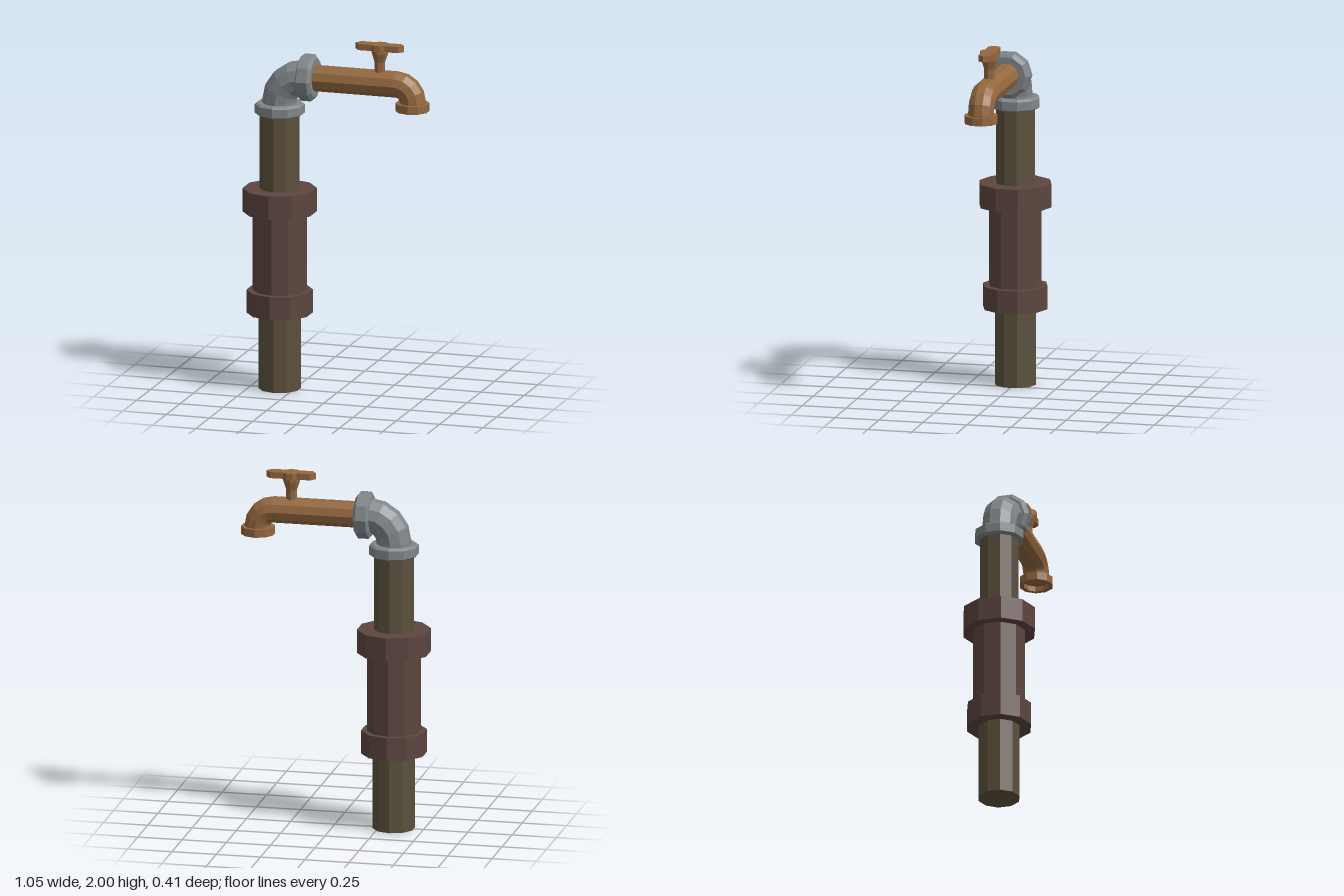
import * as THREE from 'three';

const SIDES = 10;
const PIPE_X = -0.333; // axis of the upright pipe
const ARM_Y = 1.778; // axis of the horizontal arm

const paint = (color) => new THREE.MeshStandardMaterial({ color, flatShading: true });

export function createModel() {
  const group = new THREE.Group();
  const olive = paint(0x5b503d);
  const rust = paint(0x5c453f);
  const steel = paint(0x80868a);
  const brass = paint(0x94683f);

  function add(name, geometry, material) {
    const flat = geometry.index ? geometry.toNonIndexed() : geometry;
    flat.computeVertexNormals();
    const mesh = new THREE.Mesh(flat, material);
    mesh.name = name;
    group.add(mesh);
    return mesh;
  }

  // Turned part from [radius, height] pairs, listed bottom to top
  const turned = (profile, sides = SIDES) =>
    new THREE.LatheGeometry(profile.map(([r, y]) => new THREE.Vector2(r, y)), sides);

  const solid = (r, y0, y1) => turned([[0, y0], [r, y0], [r, y1], [0, y1]]);

  // Nut with bevelled rims
  const nut = (r, rim, y0, y1, bevel0, bevel1) =>
    turned([[0, y0], [rim, y0], [r, y0 + bevel0], [r, y1 - bevel1], [rim, y1], [0, y1]]);

  // Upright pipe sections and collars
  const uprights = [
    ['lowerPipe', 0.117, 0, 0.5, olive],
    ['lowerCollar', 0.183, 0.43, 0.56, rust],
    ['sleeve', 0.149, 0.5, 1.07, rust],
    ['upperCollar', 0.205, 1.005, 1.137, rust],
    ['upperPipe', 0.11, 1.07, 1.58, olive],
  ];
  for (const [name, r, y0, y1, material] of uprights) {
    add(name, solid(r, y0, y1), material).position.x = PIPE_X;
  }

  // Elbow nuts, one upright and one on its side
  add('elbowBaseNut', nut(0.138, 0.125, 1.558, 1.625, 0.008, 0.01), steel).position.x = PIPE_X;
  const sideNut = add('elbowSideNut', nut(0.131, 0.11, -0.21, -0.125, 0.01, 0.015), steel);
  sideNut.rotation.z = -Math.PI / 2;
  sideNut.position.y = ARM_Y;

  // Pipe swept through rings [x, y, heading] in the xy plane
  function sweep(rings, r) {
    const positions = [];
    const index = [];
    rings.forEach(([x, y, heading], i) => {
      for (let j = 0; j < SIDES; j++) {
        const a = (j / SIDES) * Math.PI * 2;
        const out = r * Math.sin(a);
        positions.push(x - Math.sin(heading) * out, y + Math.cos(heading) * out, r * Math.cos(a));
        if (i === rings.length - 1) continue;
        const k = (j + 1) % SIDES;
        const p = i * SIDES;
        const q = p + SIDES;
        index.push(p + j, q + j, p + k, q + j, q + k, p + k);
      }
    });
    const geometry = new THREE.BufferGeometry();
    geometry.setAttribute('position', new THREE.Float32BufferAttribute(positions, 3));
    geometry.setIndex(index);
    return geometry;
  }

  // Clockwise quarter bend around (cx, cy)
  function bend(cx, cy, radius, from, steps) {
    return Array.from({ length: steps + 1 }, (_, i) => {
      const t = from - (i / steps) * (Math.PI / 2);
      return [cx + radius * Math.cos(t), cy + radius * Math.sin(t), t - Math.PI / 2];
    });
  }

  const elbow = bend(PIPE_X + 0.14, ARM_Y - 0.14, 0.14, Math.PI, 4);
  add('elbow', sweep([[PIPE_X, 1.6, Math.PI / 2], ...elbow], 0.097), steel);

  const spout = bend(0.345, ARM_Y - 0.09, 0.09, Math.PI / 2, 4);
  add('spout', sweep([[-0.16, ARM_Y, 0], ...spout, [0.435, 1.67, -Math.PI / 2]], 0.073), brass);

  // Spout mouth with a recessed opening
  add('spoutMouth', turned([
    [0, 1.665], [0.07, 1.665], [0.07, 1.635], [0.094, 1.635], [0.094, 1.68], [0, 1.68],
  ]), brass).position.x = 0.434;

  // Valve stem flaring up to the handle
  add('valveStem', turned([
    [0, 1.82], [0.031, 1.82], [0.031, 1.9], [0.048, 1.95], [0.048, 1.967], [0, 1.967],
  ], 8), brass).position.x = 0.245;

  // Handle: flat bar with pointed ends and a wider hub
  const half = [[-0.14, 0], [-0.114, 0.034], [-0.038, 0.034], [-0.017, 0.05],
    [0.017, 0.05], [0.038, 0.034], [0.114, 0.034], [0.14, 0]];
  const outline = [...half, ...half.slice(1, -1).reverse().map(([x, z]) => [x, -z])];
  const shape = new THREE.Shape(outline.map(([x, z]) => new THREE.Vector2(x, z)));
  const bar = new THREE.ExtrudeGeometry(shape, { depth: 0.035, bevelEnabled: false });
  bar.rotateX(-Math.PI / 2);
  add('handle', bar, brass).position.set(0.246, 1.965, 0);

  return group;
}
